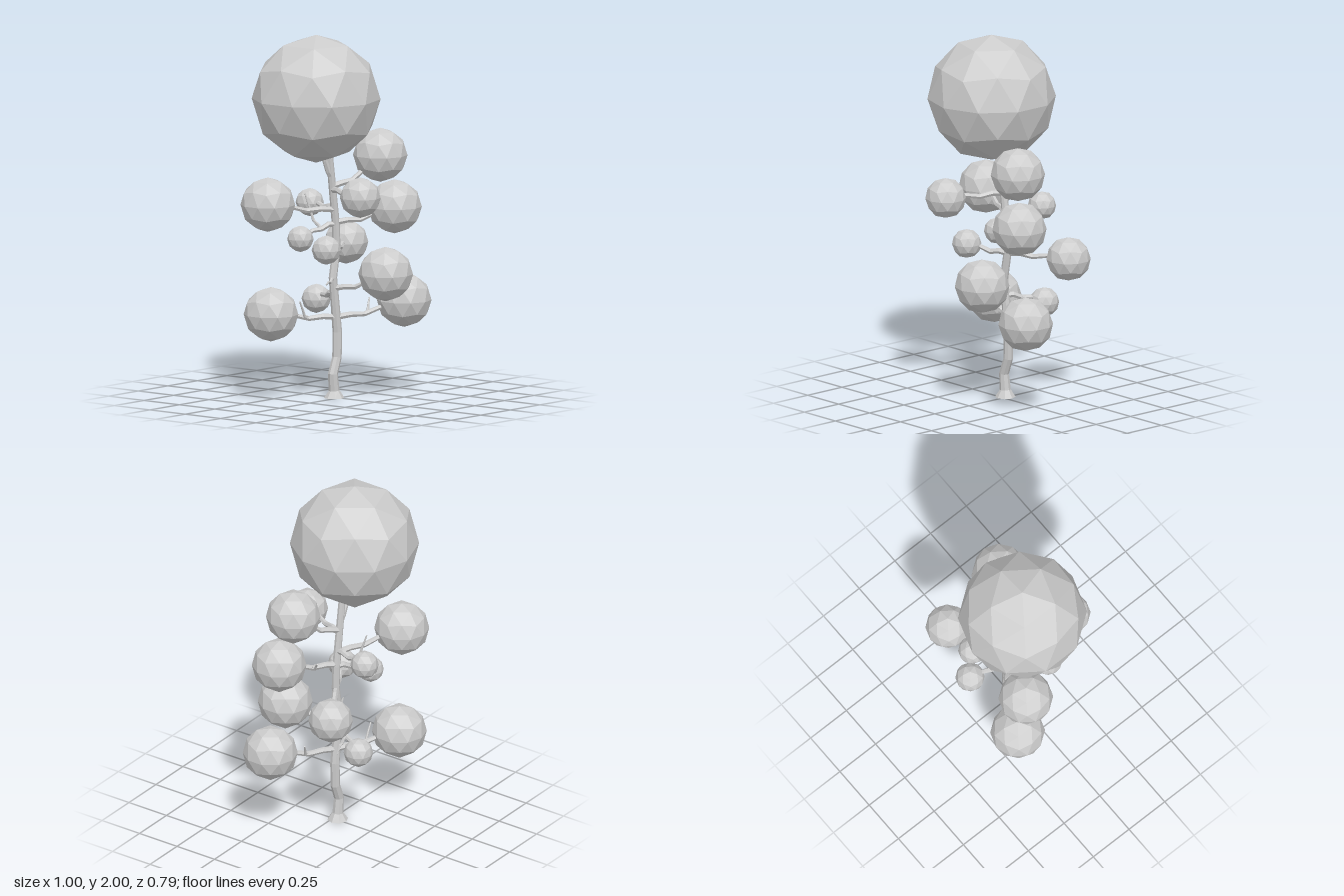
import * as THREE from 'three';

const material = new THREE.MeshStandardMaterial({ color: 0xcccccc, flatShading: true });
const vec = (x, y, z) => new THREE.Vector3(x, y, z);

// Closed, faceted limb along points, with one radius per point
function limb(name, points, radii, sides) {
  const last = points.length - 1;
  const whole = points[last].clone().sub(points[0]).normalize();
  const ref = Math.abs(whole.y) > 0.8 ? vec(0, 0, 1) : vec(0, 1, 0);
  const pos = [], index = [];
  const ring = (i, r) => {
    const t = points[Math.min(i + 1, last)].clone().sub(points[Math.max(i - 1, 0)]).normalize();
    const u = ref.clone().cross(t).normalize(), v = t.clone().cross(u);
    for (let j = 0; j < sides; j++) {
      const a = (j / sides) * Math.PI * 2;
      const c = points[i].clone().addScaledVector(u, Math.cos(a) * r).addScaledVector(v, Math.sin(a) * r);
      pos.push(c.x, c.y, c.z);
    }
  };
  // rings of zero radius close both ends
  ring(0, 0);
  radii.forEach((r, i) => ring(i, r));
  ring(last, 0);
  for (let i = 0; i < last + 2; i++) {
    for (let j = 0; j < sides; j++) {
      const a = i * sides + j, b = i * sides + (j + 1) % sides;
      index.push(a, b, b + sides, a, b + sides, a + sides);
    }
  }
  const g = new THREE.BufferGeometry();
  g.setAttribute('position', new THREE.Float32BufferAttribute(pos, 3));
  g.setIndex(index);
  g.computeVertexNormals();
  const mesh = new THREE.Mesh(g, material);
  mesh.name = name;
  return mesh;
}

// Tapered, slightly kinked branch that leaves flat and rises towards its end
function branch(name, start, end, r0, r1) {
  const steps = [0, 0.2, 0.42, 0.65, 1];
  const points = steps.map((t, i) => {
    const p = start.clone().lerp(end, t);
    const kink = i % 4 === 0 ? 0 : (i % 2 ? 0.005 : -0.008);
    p.y = start.y + (end.y - start.y) * t ** 1.7 + kink;
    return p;
  });
  return limb(name, points, steps.map(t => r0 + (r1 - r0) * t), 6);
}

// Trunk stations: x, y, radius
const TRUNK_Z = -0.025;
const trunk = [
  [-0.012, 0, 0.056], [-0.012, 0.04, 0.03], [-0.022, 0.13, 0.027], [0.012, 0.22, 0.026],
  [0.015, 0.36, 0.026], [-0.022, 0.66, 0.023], [0.008, 0.82, 0.022], [0.002, 0.95, 0.022],
  [-0.055, 1.36, 0.019],
];

// Point on the trunk's centre line at height y
function onTrunk(y) {
  const i = trunk.findIndex(s => s[1] > y);
  const [x0, y0] = trunk[i - 1], [x1, y1] = trunk[i];
  return vec(THREE.MathUtils.mapLinear(y, y0, y1, x0, x1), y, TRUNK_Z);
}

export function createModel() {
  const tree = new THREE.Group();
  tree.name = 'tree';

  // Crooked trunk with a flared foot
  tree.add(limb('trunk', trunk.map(([x, y]) => vec(x, y, TRUNK_Z)), trunk.map(s => s[2]), 8));

  // Faceted leaf ball with a corner pointing straight up
  const sphere = new THREE.IcosahedronGeometry(1, 1);
  sphere.rotateX(-Math.atan2((1 + Math.sqrt(5)) / 2, 1)).rotateY(Math.PI / 2);

  // Leaf balls: centre, radius, height where the branch leaves the trunk
  const leaves = [
    ['crown', -0.142, 1.65, -0.043, 0.35, 1.21],
    ['upperLeftBall', 0.228, 1.315, 0.1, 0.148, 1.16],
    ['frontRightBall', -0.156, 1.14, 0.28, 0.111, 1.14],
    ['upperRightBall', -0.362, 1.08, -0.2, 0.149, 1.03],
    ['upperBackBall', 0.043, 1.045, -0.243, 0.077, 1.04],
    ['middleLeftBall', 0.293, 1.03, 0.147, 0.148, 0.96],
    ['smallBackBall', -0.183, 0.88, -0.12, 0.072, 0.95],
    ['smallFrontBall', -0.205, 0.84, 0.082, 0.08, 0.81],
    ['middleBackBall', 0.302, 0.803, -0.203, 0.121, 0.81],
    ['lowerFrontBall', 0.1, 0.69, 0.245, 0.149, 0.6],
    ['lowerBackBall', 0.08, 0.515, -0.228, 0.08, 0.57],
    ['lowestLeftBall', 0.358, 0.513, 0.16, 0.149, 0.44],
    ['lowestRightBall', -0.314, 0.473, -0.218, 0.149, 0.44],
  ];
  for (const [name, x, y, z, radius, startY] of leaves) {
    const ball = new THREE.Mesh(sphere, material);
    ball.name = name;
    ball.position.set(x, y, z);
    ball.scale.setScalar(radius);
    tree.add(ball, branch(name + 'Branch', onTrunk(startY), ball.position, 0.018, 0.01));
  }

  // Bare twigs: start and end
  const twigs = [
    [onTrunk(0.65), vec(-0.18, 0.645, 0.06)],
    [vec(-0.13, 0.44, -0.11), vec(-0.2, 0.54, -0.11)],
    [vec(-0.08, 0.94, -0.07), vec(-0.12, 1.12, -0.14)],
    [vec(0.035, 0.55, -0.11), vec(0.1, 0.47, -0.1)],
    [vec(0.16, 0.45, 0.06), vec(0.22, 0.53, 0.03)],
    [vec(0.12, 0.97, 0.045), vec(0.17, 1.03, -0.02)],
  ];
  for (const [start, end] of twigs) tree.add(branch('twig', start, end, 0.011, 0.004));

  return tree;
}
